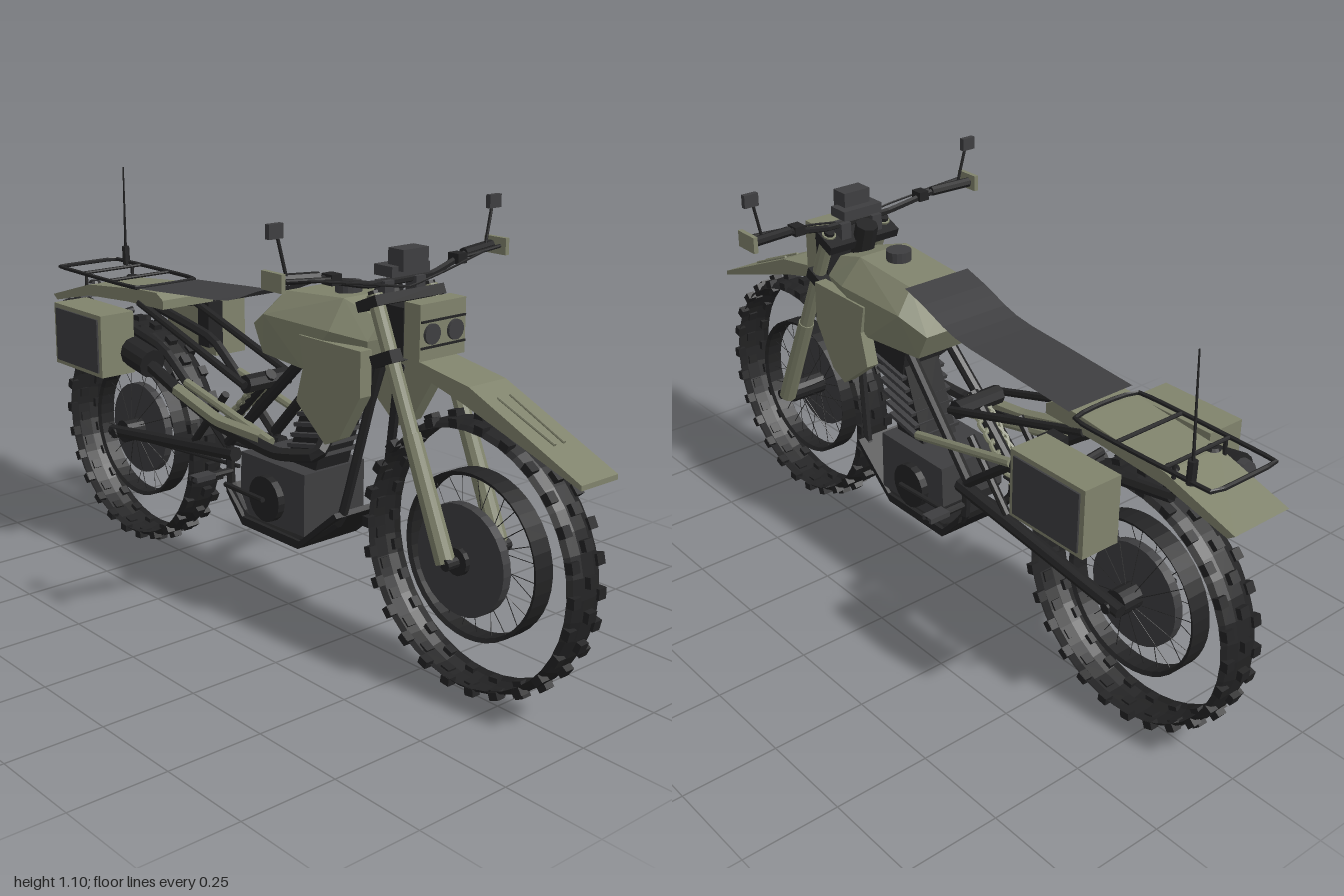
import * as THREE from 'three';
import { ConvexGeometry } from 'three/addons/geometries/ConvexGeometry.js';

const material = (name, color, extra = {}) => {
  const m = new THREE.MeshStandardMaterial({ color, flatShading: true, ...extra });
  m.name = name;
  return m;
};
const V = (p) => new THREE.Vector3(...p);

export function createModel() {
  const model = new THREE.Group();
  model.name = 'trailMotorcycle';
  const olive = material('olive paint', 0x80836c);
  const grey = material('dark grey', 0x3e3e40, { side: THREE.DoubleSide });
  const black = material('black', 0x232324, { side: THREE.DoubleSide });

  const add = (name, geo, mat, parent = model) => {
    const m = new THREE.Mesh(geo, mat);
    m.name = name;
    parent.add(m);
    return m;
  };
  const box = (name, mat, x, y, z, w, h, d, rx = 0) => {
    const m = add(name, new THREE.BoxGeometry(w, h, d), mat);
    m.position.set(x, y, z);
    m.rotation.x = rx;
    return m;
  };
  // Straight round bar between two points
  const bar = (name, mat, a, b, r0, r1 = r0, sides = 8, parent = model) => {
    const A = V(a), B = V(b), d = B.clone().sub(A);
    const m = add(name, new THREE.CylinderGeometry(r1, r0, d.length(), sides), mat, parent);
    m.position.copy(A).add(B).multiplyScalar(0.5);
    m.quaternion.setFromUnitVectors(new THREE.Vector3(0, 1, 0), d.normalize());
    return m;
  };
  const tube = (name, mat, pts, r, closed = false) => add(name, new THREE.TubeGeometry(
    new THREE.CatmullRomCurve3(pts.map(V), closed, 'catmullrom', 0.15), pts.length * 6, r, 6, closed), mat);
  // Side profile in [z, y], extruded from x0 to x1
  const slab = (name, mat, pts, x0, x1) => {
    const shape = new THREE.Shape(pts.map(([z, y]) => new THREE.Vector2(z, y)));
    const g = new THREE.ExtrudeGeometry(shape, { depth: x1 - x0, bevelEnabled: false });
    return add(name, g.rotateY(-Math.PI / 2).translate(x1, 0, 0), mat);
  };

  // Wheels: open tread band with knobs, slim rim, thin spokes, hub disc
  const wheel = (name, y, z, discX, half) => {
    const g = new THREE.Group();
    g.name = name;
    g.position.set(0, y, z);
    model.add(g);
    const ring = (pts) => new THREE.LatheGeometry(
      pts.map(([r, x]) => new THREE.Vector2(r, x)), 40).rotateZ(-Math.PI / 2);
    add('tyre', ring([[0.305, -half], [0.315, -half * 0.8], [0.323, -half * 0.35], [0.323, half * 0.35],
      [0.315, half * 0.8], [0.305, half]]), black, g);
    add('rim', ring([[0.2, -0.028], [0.19, -0.022], [0.19, 0.022], [0.2, 0.028], [0.2, -0.028]]), black, g);
    for (let i = 0; i < 26; i++) {
      const a = i / 26 * Math.PI * 2;
      const knob = (x, r, w, off) => {
        const m = add('treadKnob', new THREE.BoxGeometry(w, 0.02, 0.026), black, g);
        m.position.set(x, r * Math.cos(a + off), r * Math.sin(a + off));
        m.rotation.x = a + off;
      };
      knob(0, 0.327, 0.026, 0);
      for (const s of [-1, 1]) knob(s * half * 0.78, 0.316, 0.024, 0.12);
      const c = Math.cos(a), s = Math.sin(a), e = i % 2 ? 0.03 : -0.03;
      bar('spoke', black, [e, 0.03 * c, 0.03 * s],
        [0, 0.19 * Math.cos(a + 0.2), 0.19 * Math.sin(a + 0.2)], 0.001, 0.001, 4, g);
    }
    bar('hubDisc', grey, [discX - 0.012, 0, 0], [discX + 0.012, 0, 0], 0.133, 0.133, 28, g);
    bar('hub', black, [-0.07, 0, 0], [0.07, 0, 0], 0.033, 0.033, 14, g);
    bar('axle', black, [-0.105, 0, 0], [0.105, 0, 0], 0.014, 0.014, 10, g);
  };
  wheel('frontWheel', 0.347, 0.668, -0.045, 0.053);
  wheel('rearWheel', 0.335, -0.668, 0, 0.056);

  // Tank, cap and seat
  const hull = [[0.06, 0.855, 0.4], [0.075, 0.89, 0.29], [0.075, 0.875, 0.08], [0.1, 0.81, 0.4], [0.13, 0.82, 0.3],
    [0.13, 0.82, 0.06], [0.1, 0.78, -0.015], [0.1, 0.71, 0.02], [0.125, 0.71, 0.2], [0.09, 0.77, 0.39]];
  add('fuelTank', new ConvexGeometry(hull.flatMap(([x, y, z]) => [V([x, y, z]), V([-x, y, z])])), olive);
  bar('fuelCap', grey, [0, 0.885, 0.225], [0, 0.912, 0.225], 0.033, 0.033, 16);
  const seat = new THREE.PlaneGeometry(0.2, 1, 1, 12);
  const line = new THREE.CatmullRomCurve3([[0, 0.883, 0.07], [0, 0.862, 0], [0, 0.82, -0.12],
    [0, 0.803, -0.3], [0, 0.786, -0.52]].map(V));
  const sp = seat.attributes.position;
  for (let i = 0; i < sp.count; i++) {
    const p = line.getPoint(sp.getY(i) + 0.5);
    sp.setXYZ(i, -sp.getX(i), p.y, p.z);
  }
  add('seat', seat, grey);

  // Mudguards
  slab('frontMudguard', olive, [[1, 0.615], [0.68, 0.755], [0.44, 0.795], [0.44, 0.775], [0.66, 0.715], [1, 0.603]], -0.059, 0.059);
  for (const s of [-1, 1]) bar('mudguardRib', olive, [s * 0.02, 0.735, 0.73], [s * 0.015, 0.666, 0.89], 0.004);
  slab('rearMudguard', olive, [[-0.43, 0.765], [-0.46, 0.782], [-0.55, 0.778], [-0.8, 0.752], [-1, 0.692],
    [-0.98, 0.678], [-0.8, 0.72], [-0.6, 0.735], [-0.43, 0.74]], -0.085, 0.085);
  box('tailLamp', grey, 0, 0.69, -0.95, 0.07, 0.025, 0.04, -0.25);

  // Headlamp panel
  box('headlampPanel', olive, 0, 0.85, 0.515, 0.145, 0.13, 0.05);
  box('panelBacking', black, 0, 0.84, 0.465, 0.15, 0.12, 0.05);
  for (const s of [-1, 1]) {
    bar('headlamp', grey, [s * 0.037, 0.845, 0.53], [s * 0.037, 0.845, 0.547], 0.024, 0.024, 18);
    box('panelStrip', black, 0, 0.845 + s * 0.03, 0.541, 0.14, 0.005, 0.006);
  }

  // Steering head, clamps and instruments
  bar('steeringHead', black, [0, 0.74, 0.42], [0, 0.94, 0.36], 0.03);
  box('lowerClamp', black, 0, 0.78, 0.455, 0.22, 0.03, 0.07, -0.4);
  box('upperClamp', black, 0, 0.9, 0.405, 0.22, 0.025, 0.07, -0.4);
  box('instrumentBase', grey, 0, 0.97, 0.405, 0.12, 0.025, 0.06);
  box('instrumentPod', grey, 0, 0.996, 0.425, 0.08, 0.05, 0.05);

  // Handlebar and crossing cables
  tube('handlebar', black, [[-0.35, 0.978, 0.36], [-0.24, 0.972, 0.378], [-0.1, 0.942, 0.4], [0.1, 0.942, 0.4],
    [0.24, 0.972, 0.378], [0.35, 0.978, 0.36]], 0.009);
  tube('cable', black, [[-0.28, 0.975, 0.4], [-0.12, 0.95, 0.425], [0, 0.93, 0.43], [0.12, 0.95, 0.425], [0.28, 0.975, 0.4]], 0.003);

  // Engine
  slab('crankcase', grey, [[0.18, 0.43], [-0.07, 0.43], [-0.075, 0.32], [-0.04, 0.267], [0.18, 0.267]], -0.1, 0.1);
  bar('engineCover', black, [-0.12, 0.335, 0.045], [0.12, 0.335, 0.045], 0.06, 0.06, 18);
  slab('skidPlate', black, [[0.29, 0.36], [0.16, 0.25], [-0.07, 0.25], [-0.14, 0.32], [-0.135, 0.3], [-0.07, 0.228], [0.155, 0.228], [0.3, 0.35]], -0.1, 0.1);
  slab('cylinderBarrel', black, [[0.24, 0.64], [0.14, 0.64], [0.06, 0.43], [0.17, 0.43]], -0.055, 0.055);
  for (let i = 0; i < 6; i++) box('coolingFin', grey, 0, 0.46 + i * 0.03, 0.127 + i * 0.0125, 0.14, 0.01, 0.125, -0.2);
  slab('airBox', black, [[0.3, 0.71], [0.12, 0.71], [0.14, 0.6], [0.26, 0.6]], -0.06, 0.06);

  // Exhaust on the right-hand side
  tube('exhaustPipe', black, [[-0.04, 0.56, 0.22], [-0.11, 0.5, 0.24], [-0.14, 0.48, 0.12], [-0.14, 0.5, -0.1],
    [-0.14, 0.55, -0.28], [-0.145, 0.6, -0.41]], 0.018);
  tube('exhaustShield', olive, [[-0.135, 0.505, 0.06], [-0.15, 0.515, -0.1], [-0.15, 0.56, -0.28]], 0.018);
  bar('muffler', black, [-0.145, 0.605, -0.4], [-0.145, 0.68, -0.82], 0.04, 0.04, 12);
  bar('mufflerTip', grey, [-0.145, 0.68, -0.82], [-0.145, 0.684, -0.84], 0.03, 0.025, 12);

  // Rear shock with spring coils
  bar('rearShock', black, [0, 0.62, -0.07], [0, 0.42, -0.28], 0.016);
  const coil = Array.from({ length: 49 }, (_, i) => {
    const t = i / 48, a = t * Math.PI * 14;
    return [0.03 * Math.cos(a), 0.6 - 0.15 * t + 0.021 * Math.sin(a), -0.09 - 0.16 * t + 0.021 * Math.sin(a)];
  });
  tube('shockSpring', olive, coil, 0.006);
  bar('shockMount', black, [-0.07, 0.6, -0.09], [0.07, 0.6, -0.09], 0.025);
  bar('frameSpine', black, [0, 0.78, 0.38], [0, 0.7, 0.05], 0.025);

  // Mirrored parts
  for (const s of [-1, 1]) {
    bar('forkLower', olive, [s * 0.088, 0.345, 0.655], [s * 0.088, 0.62, 0.537], 0.024, 0.022, 10);
    bar('forkUpper', olive, [s * 0.088, 0.6, 0.545], [s * 0.088, 0.92, 0.408], 0.019, 0.019, 10);
    bar('forkCap', black, [s * 0.088, 0.915, 0.41], [s * 0.088, 0.928, 0.405], 0.014);
    slab('tankShroud', olive, [[0.415, 0.795], [0.2, 0.795], [0.215, 0.72], [0.19, 0.63], [0.295, 0.545],
      [0.345, 0.57], [0.415, 0.685]], s > 0 ? 0.1 : -0.135, s > 0 ? 0.135 : -0.1);
    tube('cradleTube', black, [[s * 0.03, 0.78, 0.38], [s * 0.07, 0.34, 0.285], [s * 0.08, 0.25, 0.16],
      [s * 0.08, 0.245, -0.07], [s * 0.08, 0.32, -0.14], [s * 0.08, 0.44, -0.145]], 0.012);
    bar('frameTube', black, [s * 0.06, 0.71, 0.13], [s * 0.08, 0.43, -0.15], 0.015);
    bar('swingarm', black, [s * 0.08, 0.405, -0.12], [s * 0.085, 0.335, -0.7], 0.02, 0.017);
    bar('chainRun', black, [s * 0.07, 0.37, -0.12], [s * 0.075, 0.33, -0.68], 0.006);
    tube('subframe', black, [[s * 0.08, 0.42, -0.15], [s * 0.085, 0.63, -0.43], [s * 0.08, 0.7, -0.82]], 0.014);
    bar('seatRail', black, [s * 0.08, 0.6, -0.08], [s * 0.08, 0.74, -0.55], 0.011);
    bar('rearStay', olive, [s * 0.09, 0.48, 0.04], [s * 0.09, 0.56, -0.32], 0.012);
    bar('sideBrace', black, [s * 0.08, 0.56, -0.16], [s * 0.08, 0.4, -0.3], 0.011);
    bar('footPeg', black, [s * 0.08, 0.355, -0.14], [s * 0.205, 0.355, -0.14], 0.01);
    box('pegPlate', grey, s * 0.175, 0.358, -0.14, 0.06, 0.014, 0.035);
    bar('controlPedal', black, [s * 0.115, 0.33, -0.12], [s * 0.135, 0.34, 0.06], 0.007);

    // Panniers with inset dark lid
    box('pannier', olive, s * 0.193, 0.648, -0.61, 0.106, 0.172, 0.235);
    box('pannierLid', grey, s * 0.248, 0.648, -0.61, 0.006, 0.148, 0.208);
    bar('pannierMount', black, [s * 0.07, 0.71, -0.6], [s * 0.15, 0.7, -0.6], 0.01);
    bar('turnSignal', black, [s * 0.065, 0.755, -0.8], [s * 0.065, 0.762, -0.8], 0.018, 0.014, 12);

    // Grips, guards, levers and mirrors
    bar('grip', black, [s * 0.23, 0.973, 0.378], [s * 0.345, 0.978, 0.36], 0.013);
    box('barEndGuard', olive, s * 0.354, 0.978, 0.372, 0.012, 0.042, 0.07);
    bar('lever', black, [s * 0.19, 0.968, 0.4], [s * 0.34, 0.98, 0.395], 0.005);
    box('leverClamp', black, s * 0.2, 0.967, 0.388, 0.03, 0.025, 0.035);
    box('barRiser', grey, s * 0.05, 0.925, 0.4, 0.03, 0.045, 0.035);
    bar('mirrorStalk', black, [s * 0.315, 0.98, 0.37], [s * 0.338, 1.075, 0.366], 0.004);
    box('mirror', grey, s * 0.345, 1.086, 0.365, 0.04, 0.033, 0.014);
  }
  box('sideBracket', black, 0.127, 0.66, -0.5, 0.05, 0.13, 0.05);

  // Luggage rack
  const y = 0.783;
  tube('rackFrame', black, [[-0.09, y, -0.55], [-0.09, y, -0.93], [-0.08, y, -0.953], [0.1, y, -0.953],
    [0.11, y, -0.93], [0.11, y, -0.55]], 0.006, true);
  for (const z of [-0.68, -0.82]) bar('rackBar', black, [-0.09, y, z], [0.11, y, z], 0.005);
  for (const x of [-0.08, 0.08]) bar('rackPost', black, [x, 0.74, -0.82], [x, y, -0.82], 0.005);

  // Whip aerial
  bar('aerialBase', black, [0.107, 0.775, -0.89], [0.105, 0.83, -0.89], 0.011);
  bar('aerial', black, [0.105, 0.83, -0.89], [0.092, 1.07, -0.87], 0.004, 0.002, 6);
  return model;
}
